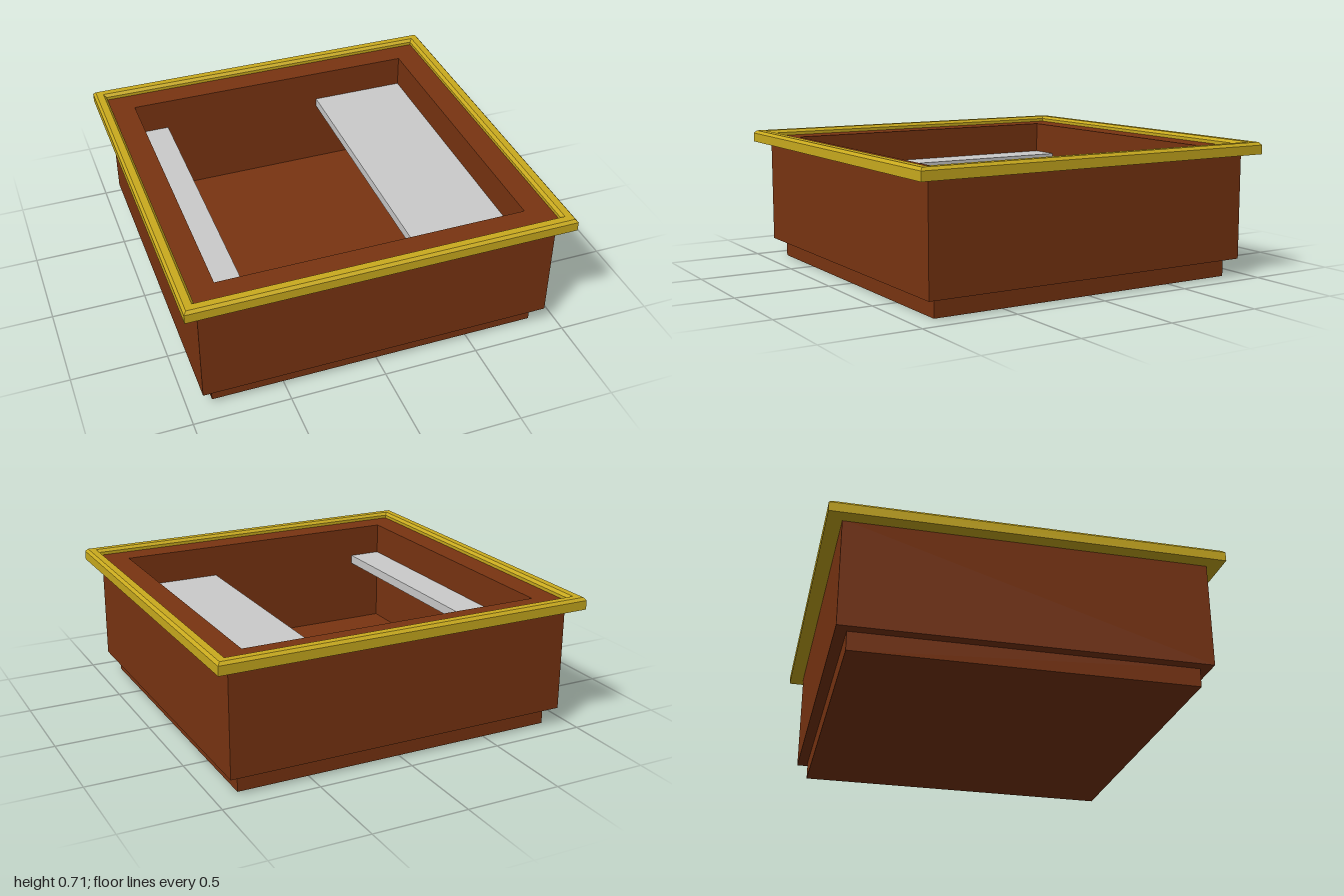
import * as THREE from 'three';

const wood = new THREE.MeshStandardMaterial({ color: 0x793411, flatShading: true });
const gold = new THREE.MeshStandardMaterial({ color: 0xcaab1e, flatShading: true });
const grey = new THREE.MeshStandardMaterial({ color: 0xcccccc, flatShading: true });

// Sweeps a profile of [half width, height] points around a square
function squareSweep(name, profile, material) {
  const points = profile.map(([r, y]) => new THREE.Vector2(r * Math.SQRT2, y));
  const geometry = new THREE.LatheGeometry(points, 4, Math.PI / 4).toNonIndexed();
  geometry.computeVertexNormals();
  const mesh = new THREE.Mesh(geometry, material);
  mesh.name = name;
  return mesh;
}

function box(name, [x0, x1], [y0, y1], [z0, z1], material) {
  const mesh = new THREE.Mesh(new THREE.BoxGeometry(x1 - x0, y1 - y0, z1 - z0), material);
  mesh.position.set((x0 + x1) / 2, (y0 + y1) / 2, (z0 + z1) / 2);
  mesh.name = name;
  return mesh;
}

export function createModel() {
  const model = new THREE.Group();
  model.name = 'openChest';

  // Recessed plinth
  model.add(box('plinth', [-0.87, 0.87], [0, 0.097], [-0.87, 0.87], wood));

  // Hollow body: underside, outer wall, lip under the rim, inner wall, floor
  model.add(squareSweep('body', [
    [0, 0.097], [0.925, 0.097], [0.925, 0.66], [0.95, 0.66],
    [0.95, 0.683], [0.805, 0.683], [0.805, 0.1], [0, 0.1],
  ], wood));

  // Gold rim with bevelled top edges
  model.add(squareSweep('rim', [
    [0.92, 0.652], [1, 0.652], [1, 0.7], [0.987, 0.715],
    [0.95, 0.715], [0.936, 0.7], [0.936, 0.67], [0.92, 0.652],
  ], gold));

  // Boards spanning the inside from front to back
  const boards = { narrowBoard: [-0.805, -0.625], wideBoard: [0.28, 0.805] };
  for (const [name, span] of Object.entries(boards)) {
    model.add(box(name, span, [0.46, 0.51], [-0.805, 0.805], grey));
  }

  return model;
}
